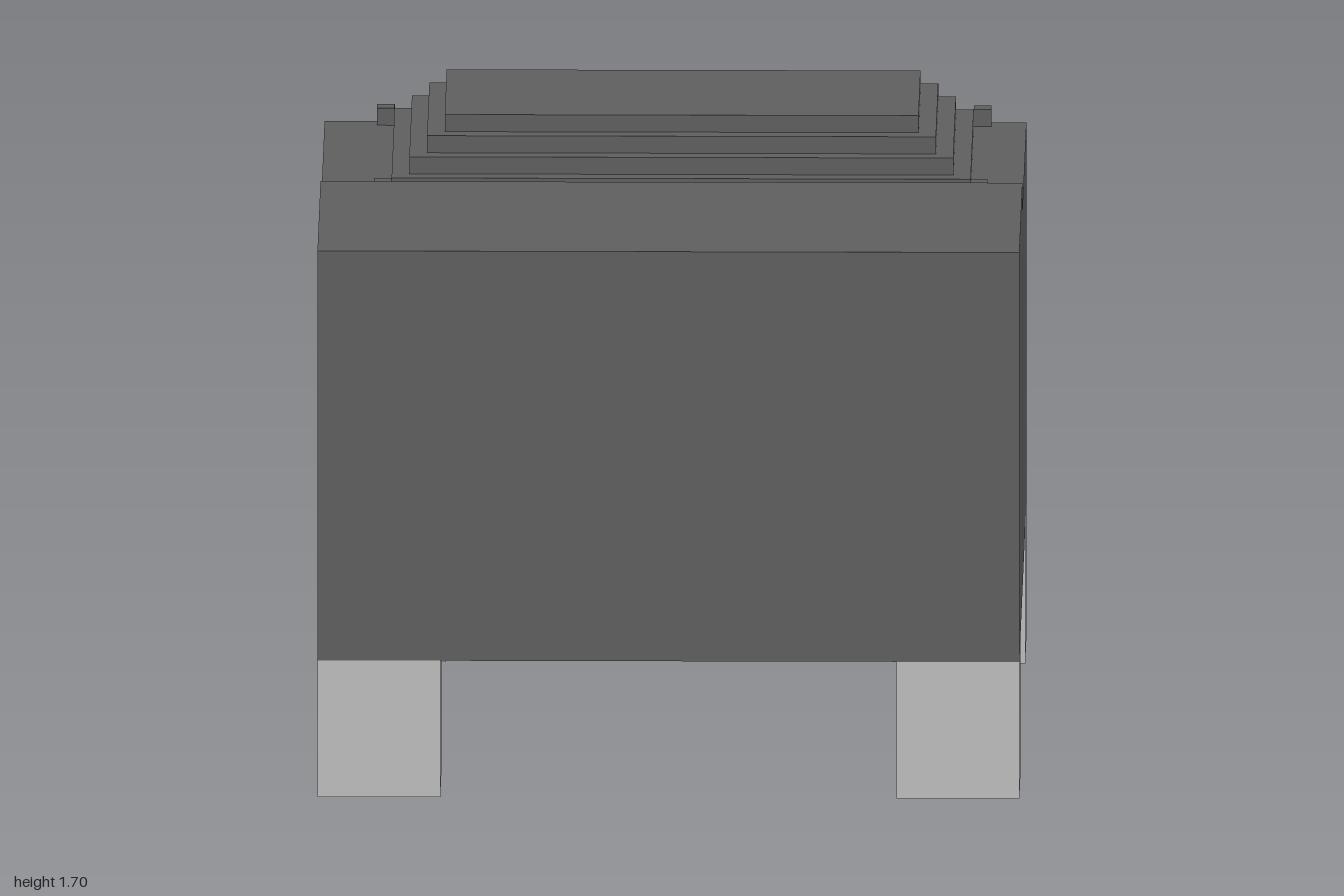
import * as THREE from 'three';

export function createModel() {
  const model = new THREE.Group();
  const darkGrey = new THREE.MeshStandardMaterial({ color: 0x606060 });
  darkGrey.name = 'darkGrey';
  const lightGrey = new THREE.MeshStandardMaterial({ color: 0xc0c0c0 });
  lightGrey.name = 'lightGrey';

  // Box given by its lower and upper limits on each axis
  function addBox(name, material, [x0, x1], [y0, y1], [z0, z1]) {
    const mesh = new THREE.Mesh(new THREE.BoxGeometry(x1 - x0, y1 - y0, z1 - z0), material);
    mesh.position.set((x0 + x1) / 2, (y0 + y1) / 2, (z0 + z1) / 2);
    mesh.name = name;
    model.add(mesh);
  }

  // Body: side profile with a lower rear deck, extruded across the width
  const profile = new THREE.Shape(
    [[-1, 0.4], [1, 0.4], [1, 1.5], [-0.15, 1.5], [-0.15, 1.6], [-1, 1.6]]
      .map(([x, y]) => new THREE.Vector2(x, y)));
  const bodyGeometry = new THREE.ExtrudeGeometry(profile, { depth: 2, bevelEnabled: false });
  bodyGeometry.translate(0, 0, -1).rotateY(Math.PI / 2);
  const body = new THREE.Mesh(bodyGeometry, darkGrey);
  body.name = 'body';
  model.add(body);

  // Four square legs, flush with the corners
  for (const x of [-1, 0.65]) {
    for (const z of [-1, 0.65]) {
      addBox('leg', lightGrey, [x, x + 0.35], [0, 0.4], [z, z + 0.35]);
    }
  }

  // Stepped platform on the rear deck
  for (let i = 0; i < 4; i++) {
    const inset = 0.05 * i;
    addBox('platformStep', darkGrey,
      [-0.8 + inset, 0.85 - inset],
      [1.5 + inset, 1.55 + inset],
      [-0.95 + inset, -0.1 - inset]);
  }

  // Small cubes at the platform corners
  for (const x of [-0.85, 0.85]) {
    for (const z of [-1, -0.1]) {
      addBox('cornerCube', darkGrey, [x, x + 0.05], [1.5, 1.55], [z, z + 0.05]);
    }
  }

  return model;
}
